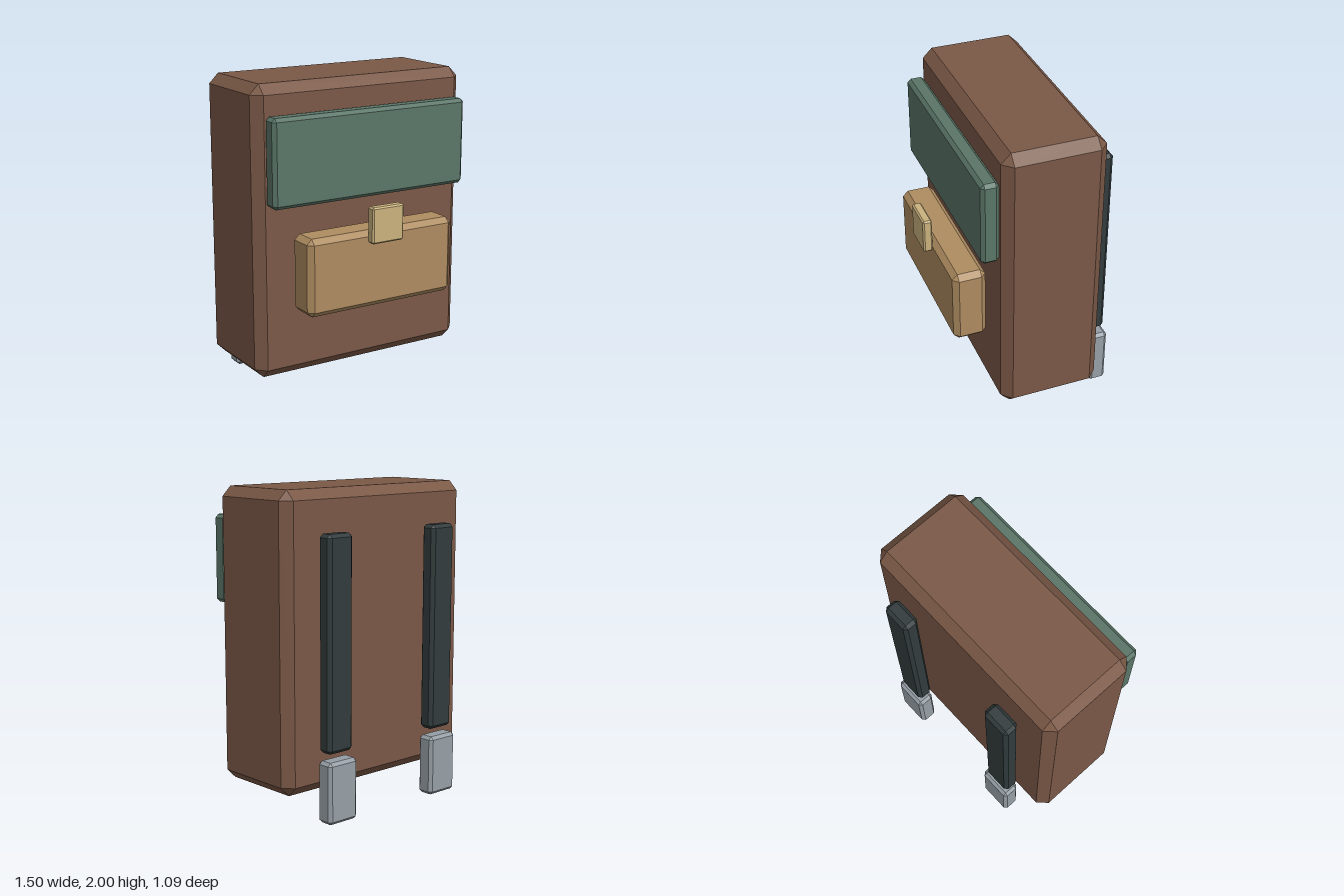
import * as THREE from 'three';
import { ConvexGeometry } from 'three/addons/geometries/ConvexGeometry.js';

const material = (name, color) => {
  const m = new THREE.MeshStandardMaterial({ color });
  m.name = name;
  return m;
};

// Box with cut edges and triangular corners, given by its min and max corners
function chamferBox(name, mat, min, max, cut) {
  const half = min.map((v, i) => (max[i] - v) / 2);
  const points = [];
  for (const sx of [-1, 1]) for (const sy of [-1, 1]) for (const sz of [-1, 1]) {
    for (let axis = 0; axis < 3; axis++) {
      const p = [sx, sy, sz].map((s, i) => s * (half[i] - (i === axis ? 0 : cut)));
      points.push(new THREE.Vector3(...p));
    }
  }
  const mesh = new THREE.Mesh(new ConvexGeometry(points), mat);
  mesh.name = name;
  mesh.position.set(...min.map((v, i) => (v + max[i]) / 2));
  return mesh;
}

export function createModel() {
  const brown = material('brown canvas', 0x7a5846);
  const green = material('green flap', 0x5a7567);
  const tan = material('tan pocket', 0xae8c60);
  const brass = material('pale brass', 0xcab27e);
  const dark = material('dark strap', 0x323b3c);
  const grey = material('grey metal', 0x969fa6);

  const model = new THREE.Group();
  model.name = 'backpack';

  // Main bag and its front details
  model.add(
    chamferBox('body', brown, [-0.75, 0.17, -0.39], [0.75, 2, 0.257], 0.061),
    chamferBox('flap', green, [-0.69, 1.272, 0.26], [0.69, 1.818, 0.372], 0.022),
    chamferBox('frontPocket', tan, [-0.525, 0.605, 0.28], [0.525, 1.095, 0.492], 0.034),
    chamferBox('buckle', brass, [-0.113, 1.022, 0.485], [0.113, 1.25, 0.545], 0.01),
  );

  // Shoulder straps on the back with their end pieces
  for (const [side, x] of [['left', 0.435], ['right', -0.435]]) {
    model.add(
      chamferBox(side + 'Strap', dark, [x - 0.098, 0.43, -0.523], [x + 0.098, 1.745, -0.419], 0.022),
      chamferBox(side + 'StrapEnd', grey, [x - 0.114, 0, -0.545], [x + 0.114, 0.386, -0.43], 0.02),
    );
  }
  return model;
}
